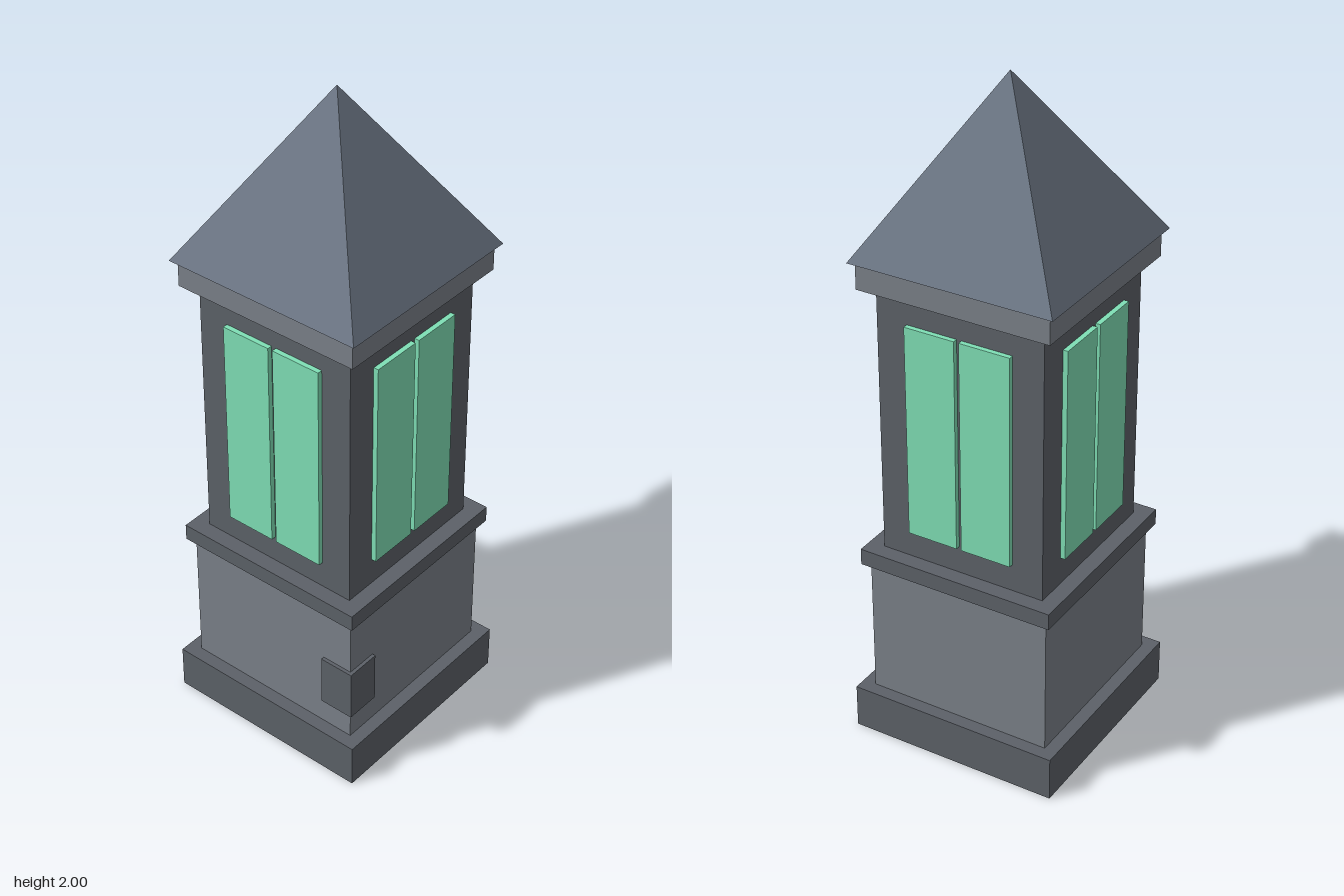
import * as THREE from 'three';

const mat = (color) => new THREE.MeshStandardMaterial({ color, flatShading: true });

export function createModel() {
  const model = new THREE.Group();
  model.name = 'lanternTower';
  const darkStone = mat(0x5c6168);
  const lightStone = mat(0x7a8088);
  const slate = mat(0x6b7583);
  const glass = mat(0x7fdfb5);

  // Square storey centred on the axis, from y0 to y1
  const addTier = (name, half, y0, y1, material) => {
    const mesh = new THREE.Mesh(new THREE.BoxGeometry(half * 2, y1 - y0, half * 2), material);
    mesh.name = name;
    mesh.position.y = (y0 + y1) / 2;
    model.add(mesh);
  };
  addTier('plinth', 0.325, 0, 0.135, darkStone);
  addTier('lowerBody', 0.285, 0.135, 0.56, lightStone);
  addTier('ledge', 0.305, 0.56, 0.61, darkStone);
  addTier('upperBody', 0.257, 0.61, 1.425, darkStone);
  addTier('cornice', 0.295, 1.425, 1.505, lightStone);

  // Pyramid roof
  const roofGeometry = new THREE.ConeGeometry(0.311 * Math.SQRT2, 0.495, 4);
  roofGeometry.rotateY(Math.PI / 4);
  const roof = new THREE.Mesh(roofGeometry, slate);
  roof.name = 'roof';
  roof.position.y = 1.505 + 0.495 / 2;
  model.add(roof);

  // A pair of tall panes on each of the four sides
  const paneGeometry = new THREE.BoxGeometry(0.155, 0.645, 0.03);
  for (let i = 0; i < 4; i++) {
    const windowPair = new THREE.Group();
    windowPair.name = 'window' + (i + 1);
    for (const side of [-1, 1]) {
      const pane = new THREE.Mesh(paneGeometry, glass);
      pane.name = side < 0 ? 'rightPane' : 'leftPane';
      pane.position.set(side * 0.085, 1.0175, 0.257);
      windowPair.add(pane);
    }
    windowPair.rotation.y = (i * Math.PI) / 2;
    model.add(windowPair);
  }

  // Small block set into the front left corner
  const block = new THREE.Mesh(new THREE.BoxGeometry(0.107, 0.16, 0.107), darkStone);
  block.name = 'cornerBlock';
  block.position.set(0.242, 0.3, 0.242);
  model.add(block);

  return model;
}
